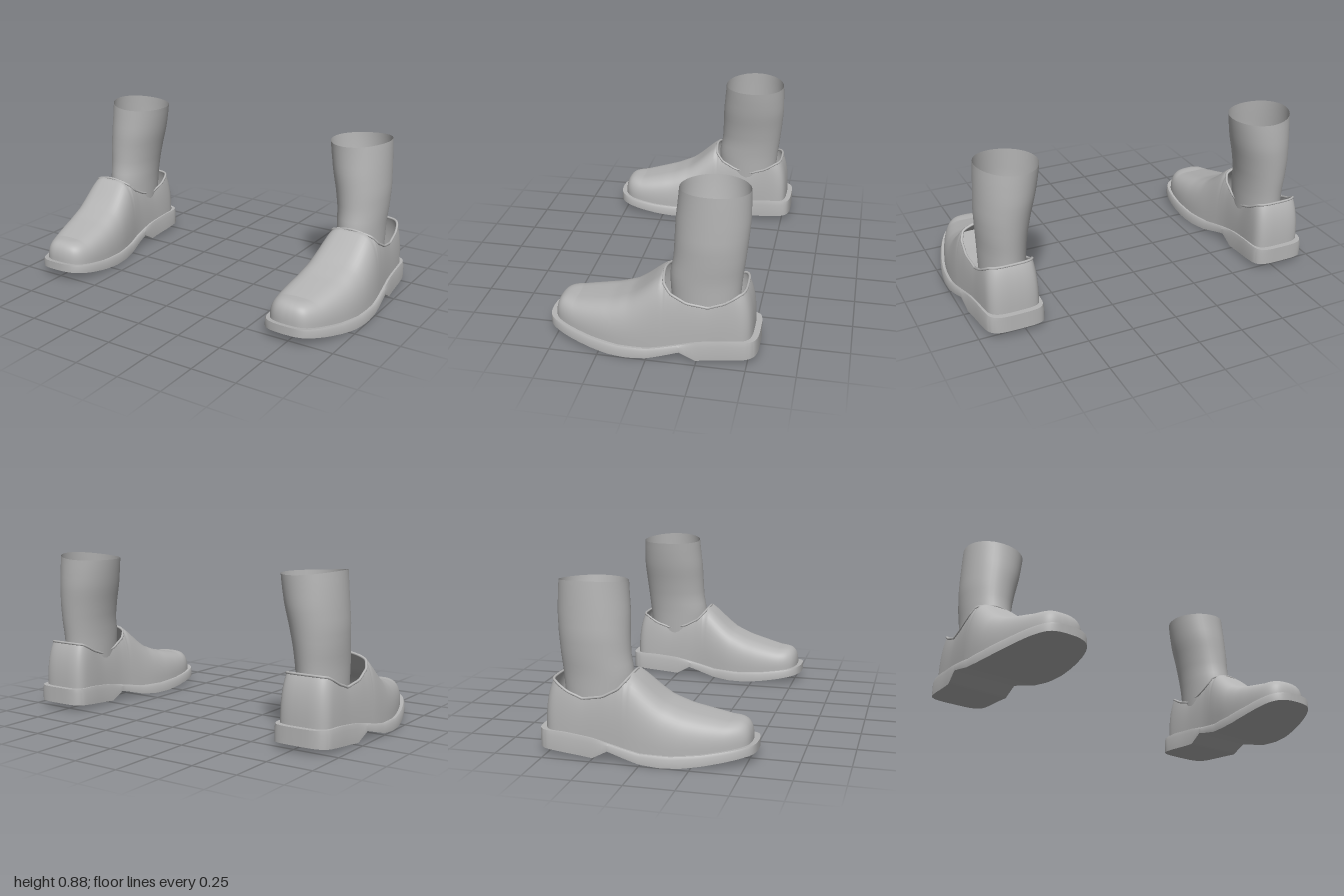
import * as THREE from 'three';
import { mergeGeometries, mergeVertices, toCreasedNormals } from 'three/addons/utils/BufferGeometryUtils.js';

const grey = new THREE.MeshStandardMaterial({ color: 0xb4b4b4, side: THREE.DoubleSide });
grey.name = 'plain grey';

// Linear lookup in a table of [key, value, ...] rows with falling keys
function look(table, key, col = 1) {
  if (key >= table[0][0]) return table[0][col];
  for (let i = 1; i < table.length; i++) {
    const a = table[i - 1], b = table[i];
    if (key >= b[0]) return a[col] + (b[col] - a[col]) * (a[0] - key) / (a[0] - b[0]);
  }
  return table[table.length - 1][col];
}

// Sole outline from toe to heel: inner x, outer x, z
const outline = new THREE.CatmullRomCurve3([
  [0.75, 0.75, 0.545], [0.69, 0.81, 0.54], [0.64, 0.85, 0.522], [0.605, 0.882, 0.485],
  [0.582, 0.917, 0.42], [0.57, 0.96, 0.3], [0.572, 0.985, 0.2], [0.583, 0.998, 0.1],
  [0.603, 1, 0], [0.618, 0.996, -0.069], [0.626, 0.991, -0.11], [0.633, 0.984, -0.165],
  [0.637, 0.974, -0.245], [0.638, 0.966, -0.32], [0.635, 0.957, -0.44], [0.641, 0.946, -0.5],
  [0.66, 0.922, -0.53], [0.7, 0.88, -0.545], [0.79, 0.79, -0.549],
].map(p => new THREE.Vector3(...p)));
const STEPS = (outline.points.length - 1) * 4;

// Heights along the shoe, keyed by z
const soleTop = [[0.545, 0.1], [0.45, 0.085], [0.3, 0.065], [0.15, 0.055], [0, 0.06], [-0.15, 0.09], [-0.25, 0.11], [-0.4, 0.125]];
const soleBottom = [[0.545, 0.055], [0.4, 0.028], [0.3, 0.012], [0.2, 0.001], [0.1, 0], [0, 0.01], [-0.1, 0.037], [-0.165, 0.055], [-0.245, 0.01], [-0.549, 0.035]];
const ridge = [[0.397, 0.203], [0.3, 0.225], [0.2, 0.25], [0.1, 0.292], [0.05, 0.33], [0, 0.375], [-0.03, 0.402],
  [-0.065, 0.428], [-0.08, 0.405], [-0.12, 0.36], [-0.2, 0.318], [-0.3, 0.3], [-0.38, 0.328], [-0.45, 0.37], [-0.48, 0.376]];
// How far the collar stands from the centre line (0 = closed vamp)
const opening = [[-0.069, 0], [-0.078, 0.5], [-0.09, 0.7], [-0.12, 0.82], [-0.2, 0.9], [-0.44, 0.92], [-0.549, 0.88]];

// Ankle rings: y, inner x, outer x, front z, back z
const ankleRings = [[0.86, 0.575, 0.905, -0.125, -0.475], [0.8, 0.583, 0.908, -0.12, -0.478], [0.7, 0.6, 0.912, -0.11, -0.48],
  [0.6, 0.625, 0.915, -0.107, -0.472], [0.5, 0.645, 0.91, -0.103, -0.462], [0.4, 0.655, 0.902, -0.085, -0.45], [0.12, 0.67, 0.895, -0.1, -0.43]];

// Grid surface from fn(i, j); flip reverses the facing
function grid(nu, nv, fn, side, flip) {
  const pos = [], idx = [], w = nv + 1;
  for (let i = 0; i <= nu; i++) for (let j = 0; j <= nv; j++) {
    const [x, y, z] = fn(i, j);
    pos.push(x * side, y, z);
  }
  for (let i = 0; i < nu; i++) for (let j = 0; j < nv; j++) {
    const a = i * w + j, b = a + 1, c = a + w, d = c + 1;
    if (flip !== side < 0) idx.push(a, b, c, b, d, c);
    else idx.push(a, c, b, b, c, d);
  }
  const g = new THREE.BufferGeometry();
  g.setAttribute('position', new THREE.Float32BufferAttribute(pos, 3));
  g.setIndex(idx);
  return g;
}

function smooth(geometries) {
  const g = mergeVertices(mergeGeometries(geometries), 1e-5);
  g.computeVertexNormals();
  return g;
}

// Point on the upper: station i, height fraction s, outer or inner half
function upperPoint(i, s, outer) {
  const o = outline.getPoint(i / STEPS), cx = (o.x + o.y) / 2;
  const bx = cx + ((outer ? o.y : o.x) - cx) * 0.9, bz = o.z * 0.945;
  const k = look(opening, o.z);
  let tz = Math.min(bz, 0.397);
  tz += 0.04 * THREE.MathUtils.smoothstep(-bz, 0.3, 0.515);
  const tx = (bz > 0.397 ? 0.7495 : cx) + (bx - cx) * k;
  const max = Math.acos(k * k), a = s * max;
  const f = s === 1 ? 1 : (1 - Math.sqrt(Math.cos(a))) / (1 - k);
  const by = look(soleTop, o.z) - 0.008;
  const y = by + (look(ridge, tz) - by) * Math.pow(Math.sin(a) / Math.sin(max), 0.78);
  return [bx + (tx - bx) * f, y, bz + (tz - bz) * f];
}

function createShoe(side, name) {
  const shoe = new THREE.Group();
  shoe.name = name;
  const add = (geometry, part) => {
    const mesh = new THREE.Mesh(geometry, grey);
    mesh.name = part;
    shoe.add(mesh);
  };

  // Sole with raised heel block and a softened welt edge
  const section = [[1, 0], [1, 0.75], [0.96, 1], [-0.96, 1], [-1, 0.75], [-1, 0], [1, 0]];
  const sole = grid(STEPS, 6, (i, j) => {
    const o = outline.getPoint(i / STEPS), [sx, sy] = section[j];
    const lo = look(soleBottom, o.z), hi = look(soleTop, o.z);
    return [(o.x + o.y) / 2 + sx * (o.y - o.x) / 2, lo + (hi - lo) * sy, o.z];
  }, side, false);
  add(toCreasedNormals(sole, 0.65), 'sole');

  // Upper: rounded toe and vamp running into the open heel quarters
  const rows = 14;
  add(smooth([true, false].map(outer =>
    grid(STEPS, rows, (i, j) => upperPoint(i, j / rows, outer), side, !outer))), 'upper');

  // Piping round the collar
  const collar = [];
  for (let i = 36; i <= STEPS; i++) collar.push(upperPoint(i, 1, true));
  for (let i = STEPS - 1; i > 36; i--) collar.push(upperPoint(i, 1, false));
  const path = new THREE.CatmullRomCurve3(collar.map(p => new THREE.Vector3(p[0] * side, p[1], p[2])), true);
  add(new THREE.TubeGeometry(path, 120, 0.007, 8, true), 'collarPiping');

  // Open ankle tube, its rim a little higher on the outside
  const levels = 20, around = 40;
  add(smooth([grid(levels, around, (i, j) => {
    const y = 0.12 + 0.74 * i / levels, a = (j % around) / around * Math.PI * 2;
    const [x0, x1, z1, z0] = [1, 2, 3, 4].map(c => look(ankleRings, y, c));
    const rim = Math.max(0, (y - 0.7) / 0.16) * 0.012 * Math.cos(a);
    return [(x0 + x1) / 2 + (x1 - x0) / 2 * Math.cos(a), y + rim - 0.004 * Math.cos(2 * a + Math.PI) * i / levels,
      (z0 + z1) / 2 + (z1 - z0) / 2 * Math.sin(a)];
  }, side, false)]), 'ankle');
  return shoe;
}

export function createModel() {
  const model = new THREE.Group();
  model.name = 'pairOfShoes';
  model.add(createShoe(1, 'leftShoe'), createShoe(-1, 'rightShoe'));
  return model;
}
